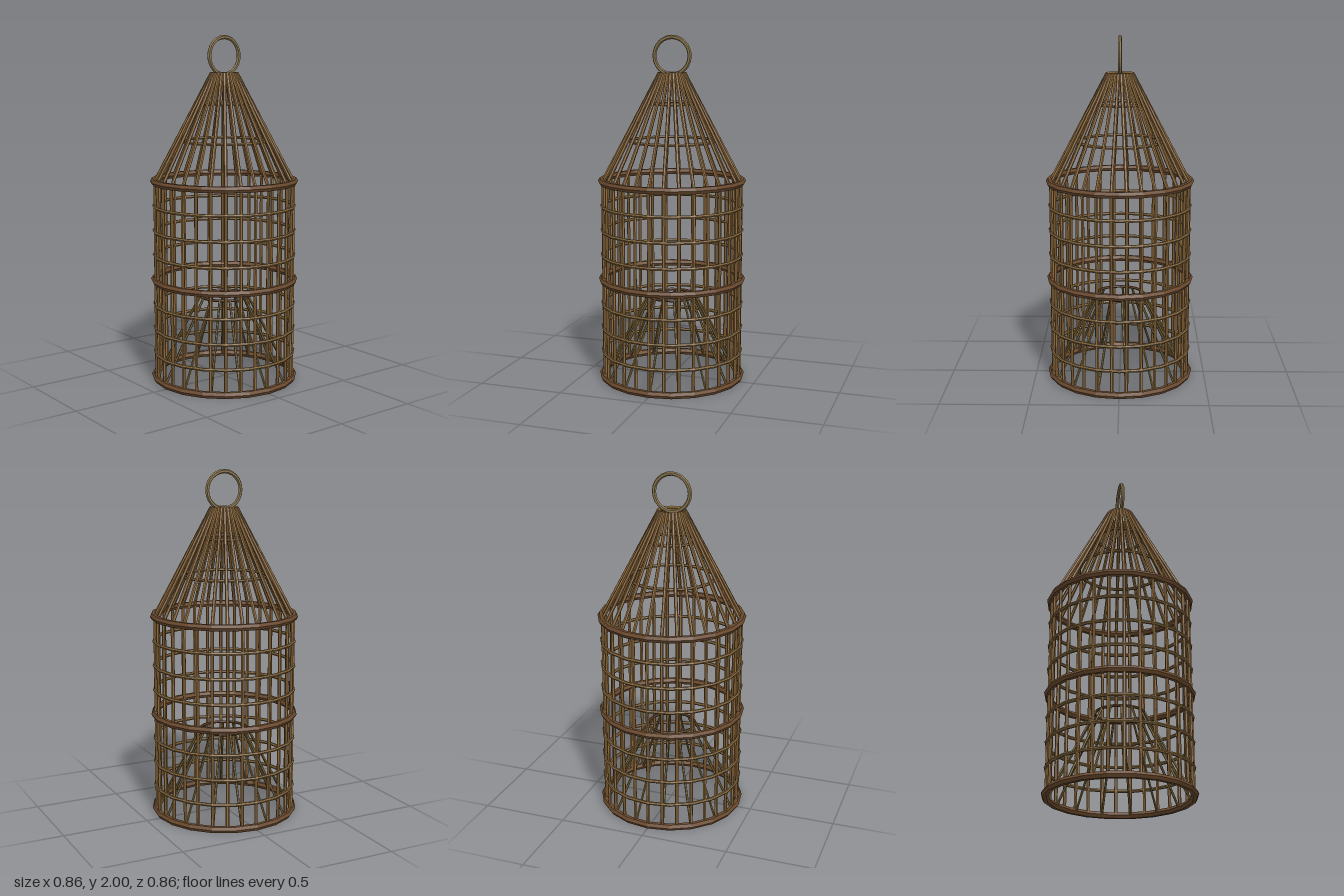
import * as THREE from 'three';

const mat = (name, color) => {
  const m = new THREE.MeshStandardMaterial({ color, flatShading: true });
  m.name = name;
  return m;
};

export function createModel() {
  const cage = new THREE.Group();
  cage.name = 'wickerTrap';
  const cane = mat('cane', 0x8f6b3d);
  const darkWood = mat('darkWood', 0x6b4a2e);
  const paleCane = mat('paleCane', 0x86693f);
  const oliveCane = mat('oliveCane', 0x7f6a3a);
  const rope = mat('rope', 0x8a7650);

  const group = (name) => {
    const g = new THREE.Group();
    g.name = name;
    cage.add(g);
    return g;
  };

  // Horizontal hoop lying around the y axis
  const addHoop = (parent, name, radius, tube, y, material) => {
    const hoop = new THREE.Mesh(new THREE.TorusGeometry(radius, tube, 6, 20), material);
    hoop.name = name;
    hoop.rotation.x = Math.PI / 2;
    hoop.position.y = y;
    parent.add(hoop);
  };

  // Ring of straight rods running from (r0, y0) to (r1, y1)
  const addRods = (parent, name, count, r0, y0, r1, y1, thickness, material) => {
    const length = Math.hypot(r1 - r0, y1 - y0);
    const geometry = new THREE.CylinderGeometry(thickness, thickness, length, 6);
    geometry.rotateZ(-Math.atan2(r1 - r0, y1 - y0));
    geometry.translate((r0 + r1) / 2, (y0 + y1) / 2, 0);
    for (let i = 0; i < count; i++) {
      const rod = new THREE.Mesh(geometry, material);
      rod.name = name;
      rod.rotation.y = (i / count) * Math.PI * 2;
      parent.add(rod);
    }
  };

  // Upright wall bars and sloping roof bars
  addRods(group('wallBars'), 'wallBar', 30, 0.4, 0.018, 0.4, 1.17, 0.01, cane);
  addRods(group('roofBars'), 'roofBar', 30, 0.4, 1.17, 0.073, 1.787, 0.01, cane);

  // Wall hoops: every fourth one is heavy, with another at the top
  const hoops = group('wallHoops');
  for (let i = 0; i <= 8; i++) {
    const y = 0.018 + i * 0.144;
    if (i % 4 === 0) addHoop(hoops, 'heavyHoop', 0.408, 0.02, y, darkWood);
    else addHoop(hoops, 'thinHoop', 0.407, 0.01, y, paleCane);
  }

  // Hoops inside the roof
  const roofHoops = group('roofHoops');
  addHoop(roofHoops, 'lowerRoofHoop', 0.244, 0.009, 1.4, paleCane);
  addHoop(roofHoops, 'upperRoofHoop', 0.134, 0.009, 1.615, paleCane);

  // Entrance funnel rising from the base
  const funnel = group('entranceFunnel');
  addRods(funnel, 'funnelBar', 15, 0.39, 0.02, 0.14, 0.492, 0.007, oliveCane);
  addHoop(funnel, 'funnelRim', 0.14, 0.008, 0.49, darkWood);

  // Hanging ring, standing in the yz plane
  const ring = new THREE.Mesh(new THREE.TorusGeometry(0.105, 0.012, 6, 24), rope);
  ring.name = 'hangingRing';
  ring.rotation.y = Math.PI / 2;
  ring.position.y = 1.883;
  cage.add(ring);

  return cage;
}
